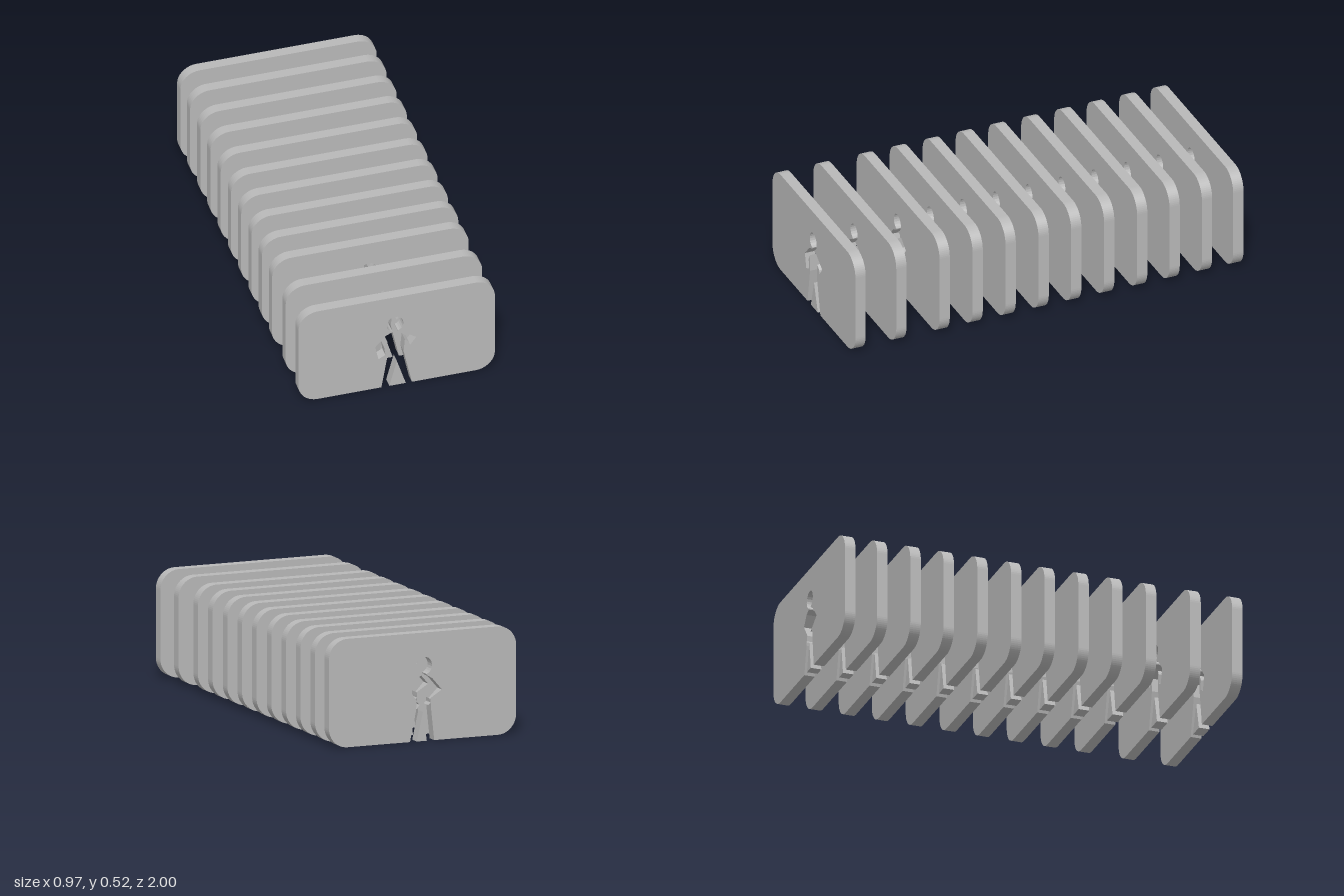
import * as THREE from 'three';

// Half-outlines of the walking figure: from the foot up to the neck, two poses
const rightSideA = [[-0.075, 0], [-0.045, 0.18], [-0.046, 0.265], [-0.062, 0.235], [-0.055, 0.188], [-0.09, 0.17], [-0.105, 0.245], [-0.055, 0.3], [-0.022, 0.315]];
const rightSideB = [[-0.06, 0], [-0.045, 0.14], [-0.042, 0.18], [-0.04, 0.2], [-0.02, 0.19], [-0.03, 0.17], [-0.1, 0.24], [-0.05, 0.298], [-0.022, 0.315]];
const leftSideA = [[0.006, 0.315], [0.032, 0.305], [0.096, 0.262], [0.066, 0.222], [0.06, 0.24], [0.04, 0.26], [0.034, 0.19], [0.075, 0]];
const leftSideB = [[0.006, 0.315], [0.035, 0.3], [0.07, 0.25], [0.03, 0.155], [0.015, 0.175], [0.03, 0.19], [0.035, 0.14], [0.065, 0]];
const wedgeA = [[-0.036, 0], [0.045, 0], [0.001, 0.14]];
const wedgeB = [[-0.022, 0], [0.03, 0], [-0.002, 0.14]];

const W = 0.483, H = 0.52, R = 0.095, DEPTH = 0.053;
const slabZ = [0.9735, 0.763, 0.54, 0.37, 0.2, 0.03, -0.138, -0.308, -0.478, -0.645, -0.812, -0.9735];

const blend = (a, b, t) => a.map((p, i) => [p[0] + (b[i][0] - p[0]) * t, p[1] + (b[i][1] - p[1]) * t]);

function extrude(shape) {
  const g = new THREE.ExtrudeGeometry(shape, { depth: DEPTH, bevelEnabled: false, curveSegments: 8 });
  g.translate(0, 0, -DEPTH / 2);
  return g;
}

// Rounded panel whose lower edge opens into the figure-shaped gap
function panelShape(t) {
  const right = blend(rightSideA, rightSideB, t);
  const left = blend(leftSideA, leftSideB, t);
  const s = new THREE.Shape();
  s.moveTo(...left[left.length - 1]);
  s.lineTo(W - R, 0);
  s.absarc(W - R, R, R, -Math.PI / 2, 0);
  s.absarc(W - R, H - R, R, 0, Math.PI / 2);
  s.absarc(-W + R, H - R, R, Math.PI / 2, Math.PI);
  s.absarc(-W + R, R, R, Math.PI, Math.PI * 1.5);
  right.forEach(p => s.lineTo(...p));
  // head
  for (let i = 0; i <= 20; i++) {
    const a = 4.4 - (5.65 * i) / 20;
    s.lineTo(-0.008 + 0.041 * Math.cos(a), 0.361 + 0.043 * Math.sin(a));
  }
  left.slice(0, -1).forEach(p => s.lineTo(...p));
  s.closePath();
  return s;
}

export function createModel() {
  const model = new THREE.Group();
  model.name = 'panelTunnel';
  const grey = new THREE.MeshStandardMaterial({ color: 0xb8b8b8 });
  grey.name = 'grey';

  slabZ.forEach((z, i) => {
    const t = i / (slabZ.length - 1);
    const slab = new THREE.Group();
    slab.name = `slab${i + 1}`;
    slab.position.z = z;

    const panel = new THREE.Mesh(extrude(panelShape(t)), grey);
    panel.name = 'panel';

    // solid piece left between the legs
    const points = blend(wedgeA, wedgeB, t).map(p => new THREE.Vector2(...p));
    const wedge = new THREE.Mesh(extrude(new THREE.Shape(points)), grey);
    wedge.name = 'legWedge';

    slab.add(panel, wedge);
    model.add(slab);
  });
  return model;
}
